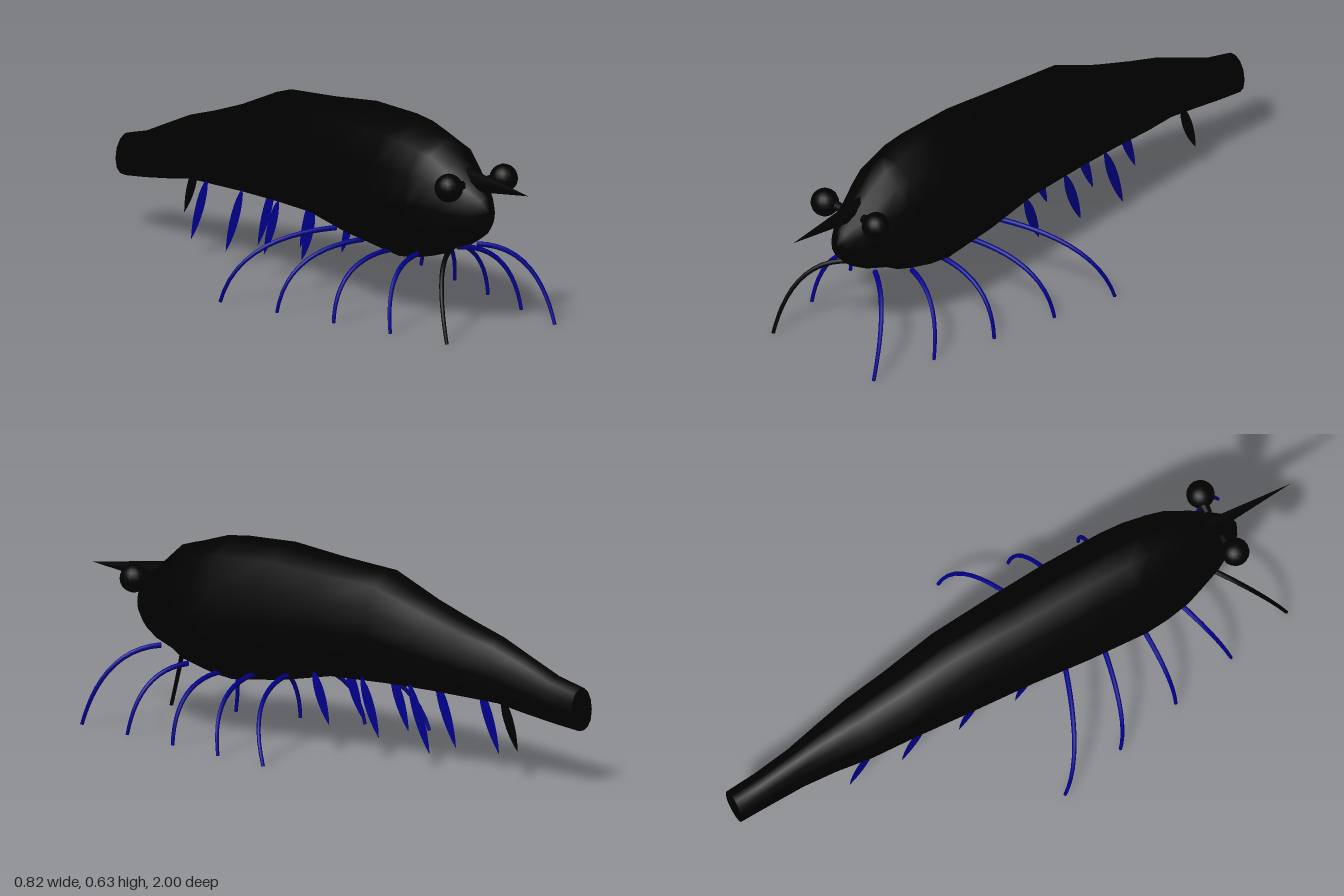
import * as THREE from 'three';

const shell = new THREE.MeshStandardMaterial({ color: 0x000000, side: THREE.DoubleSide });
shell.name = 'black shell';
const blue = new THREE.MeshStandardMaterial({ color: 0x00008b, side: THREE.DoubleSide });
blue.name = 'dark blue limb';

const SIDES = 14;

// Body cross-sections from tail to head: z, top, bottom, half width
const RINGS = [
  [-1.0, 0.31, 0.175, 0.05], [-0.9, 0.335, 0.187, 0.052], [-0.78, 0.385, 0.205, 0.058],
  [-0.67, 0.43, 0.225, 0.075], [-0.55, 0.465, 0.23, 0.097], [-0.4, 0.515, 0.235, 0.11],
  [-0.22, 0.588, 0.237, 0.13], [0, 0.605, 0.233, 0.145], [0.2, 0.627, 0.197, 0.157],
  [0.4, 0.623, 0.176, 0.163], [0.48, 0.614, 0.186, 0.158], [0.56, 0.59, 0.205, 0.145],
  [0.61, 0.578, 0.232, 0.13], [0.69, 0.515, 0.258, 0.098], [0.75, 0.465, 0.29, 0.065],
  [0.79, 0.43, 0.33, 0.035], [0.805, 0.385, 0.375, 0.004],
];

function add(group, name, geometry, material) {
  const mesh = new THREE.Mesh(geometry, material);
  mesh.name = name;
  group.add(mesh);
  return mesh;
}

// Outline of one cross-section: domed back, fuller and flatter belly
function outline([, top, bottom, w]) {
  const middle = bottom + (top - bottom) * 0.45;
  return Array.from({ length: SIDES }, (_, j) => {
    const a = (j / SIDES) * Math.PI * 2, s = Math.sin(a);
    const y = s >= 0
      ? middle + (top - middle) * s * 1.025
      : middle - (middle - bottom) * Math.pow(-s, 0.8) * 1.02;
    return new THREE.Vector2(Math.cos(a) * w, y);
  });
}

function bodyGeometry() {
  const pos = [], index = [];
  RINGS.forEach((ring, i) => {
    outline(ring).forEach((point, j) => {
      pos.push(point.x, point.y, ring[0]);
      if (i === RINGS.length - 1) return;
      const p = i * SIDES + j, q = i * SIDES + (j + 1) % SIDES;
      index.push(p, q, p + SIDES, q, q + SIDES, p + SIDES);
    });
  });
  const g = new THREE.BufferGeometry();
  g.setAttribute('position', new THREE.Float32BufferAttribute(pos, 3));
  g.setIndex(index);
  g.computeVertexNormals();
  return g;
}

// Tube along a curve, thinning from hip to foot
function legGeometry(curve) {
  const steps = 12, radial = 8;
  const g = new THREE.TubeGeometry(curve, steps, 0.0088, radial);
  const pos = g.attributes.position, v = new THREE.Vector3();
  for (let k = 0; k < pos.count; k++) {
    const t = Math.floor(k / (radial + 1)) / steps;
    const centre = curve.getPointAt(t);
    v.fromBufferAttribute(pos, k).sub(centre).multiplyScalar(1 - 0.35 * t).add(centre);
    pos.setXYZ(k, v.x, v.y, v.z);
  }
  return g;
}

// Flat leaf in the side plane, hanging from the origin and swept back
function leafGeometry(length) {
  const s = new THREE.Shape();
  s.moveTo(0, 0);
  s.bezierCurveTo(0.026, -length * 0.2, 0.026, -length * 0.65, 0, -length);
  s.bezierCurveTo(-0.026, -length * 0.65, -0.026, -length * 0.2, 0, 0);
  return new THREE.ShapeGeometry(s, 8).rotateY(Math.PI / 2).rotateX(0.37);
}

export function createModel() {
  const model = new THREE.Group();
  model.name = 'shrimp';

  // Body and flat tail end
  add(model, 'body', bodyGeometry(), shell);
  add(model, 'tailEnd', new THREE.ShapeGeometry(new THREE.Shape(outline(RINGS[0]))), shell)
    .position.z = RINGS[0][0];

  // Pointed beak
  const beak = new THREE.ConeGeometry(1, 0.36, 8).rotateX(Math.PI / 2);
  beak.scale(0.027, 0.047, 1);
  add(model, 'beak', beak, shell).position.set(0, 0.472, 0.82);

  for (const side of [-1, 1]) {
    const label = side > 0 ? 'left' : 'right';

    // Eyes on short tapered stalks
    add(model, label + 'Eye', new THREE.SphereGeometry(0.045, 16, 12), shell)
      .position.set(side * 0.11, 0.467, 0.74);
    const stalk = new THREE.CylinderGeometry(0.022, 0.014, 0.07, 10).rotateZ(-side * Math.PI / 2);
    add(model, label + 'EyeStalk', stalk, shell).position.set(side * 0.08, 0.465, 0.73);

    for (let i = 0; i < 5; i++) {
      // Arched walking legs, fanning out along the body
      const startZ = [0.68, 0.545, 0.41, 0.275, 0.14][i];
      const endZ = 0.863 - i * 0.225;
      const endX = 0.216 + i * 0.0465;
      const startY = [0.253, 0.215, 0.205, 0.213, 0.226][i];
      const startX = i === 0 ? 0.05 : 0.08;
      const curve = new THREE.QuadraticBezierCurve3(
        new THREE.Vector3(side * startX, startY, startZ),
        new THREE.Vector3(side * (endX - 0.01), startY - 0.005, startZ + (endZ - startZ) * 0.58),
        new THREE.Vector3(side * endX, 0.003, endZ));
      add(model, label + 'WalkingLeg' + (i + 1), legGeometry(curve),
        i === 0 && side < 0 ? shell : blue);

      // Leaf-shaped swimming legs: three pairs, then one on the right and one on the left
      if ((i === 3 && side > 0) || (i === 4 && side < 0)) continue;
      add(model, label + 'SwimmingLeg' + (i + 1),
        leafGeometry([0.185, 0.205, 0.235, 0.23, 0.185][i]), i === 4 ? shell : blue)
        .position.set(side * (0.08 - i * 0.008), 0.26, [0.033, -0.157, -0.347, -0.532, -0.712][i]);
    }
  }
  return model;
}
